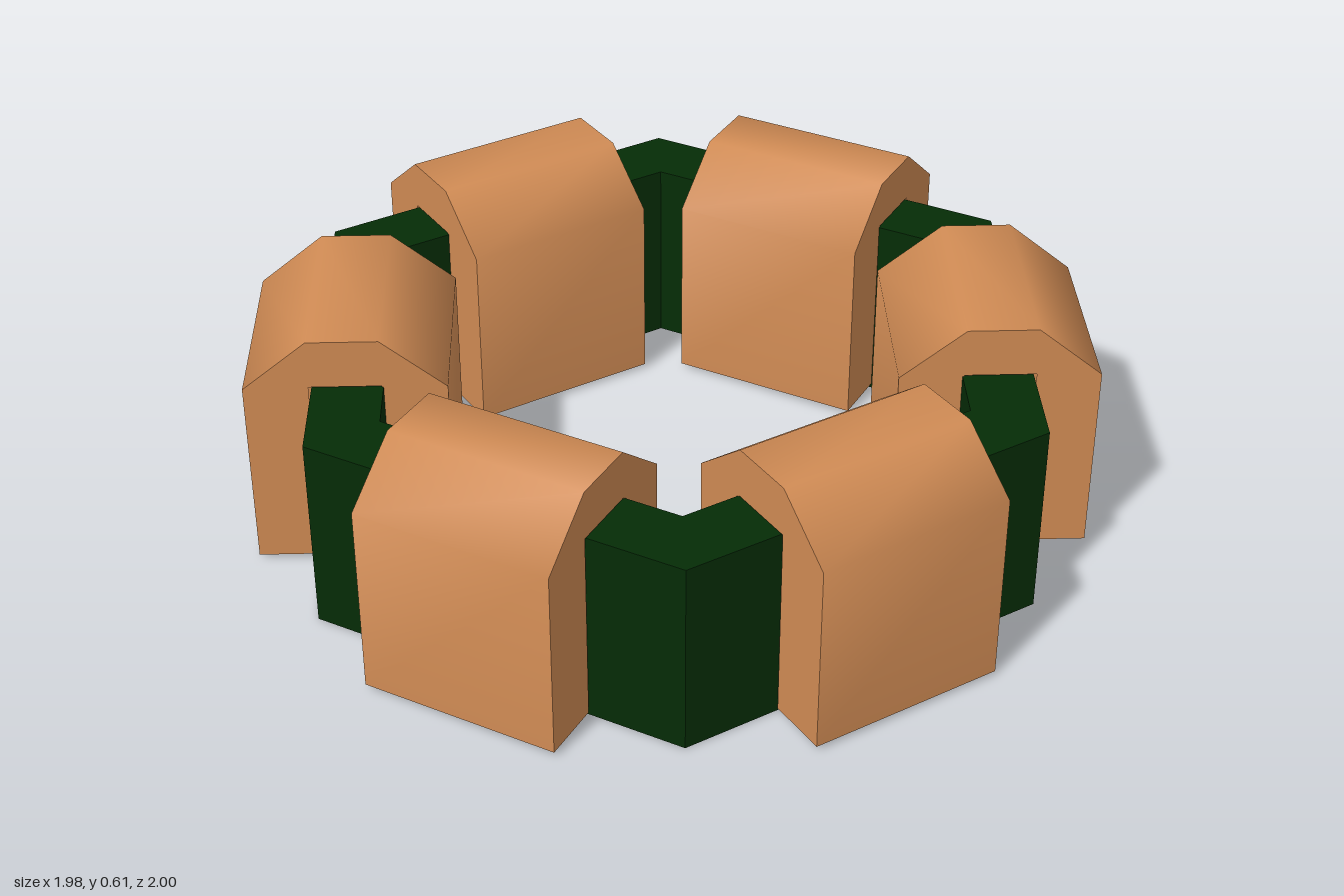
import * as THREE from 'three';
import { toCreasedNormals } from 'three/addons/utils/BufferGeometryUtils.js';

const SIDES = 6;
const OUTER = 0.97, INNER = 0.777;     // ring corner radii
const RING_BOTTOM = 0.003, RING_TOP = 0.491;
const LENGTH = 0.492;                  // saddle length along its side

// Open hexagonal wall with corners on the x axis
function wallGeometry(radius, inward) {
  const height = RING_TOP - RING_BOTTOM;
  const geo = new THREE.CylinderGeometry(radius, radius, height, SIDES, 1, true);
  geo.rotateY(Math.PI / 2).translate(0, RING_BOTTOM + height / 2, 0);
  if (inward) geo.scale(1, 1, -1);
  return toCreasedNormals(geo, 0.1);
}

// Saddle skin: a strip bent over the chamfered outline, open underneath
function skinGeometry(outline) {
  const geo = new THREE.PlaneGeometry(LENGTH, 1, 1, outline.length - 1);
  const pos = geo.attributes.position;
  for (let i = 0; i < pos.count; i++) {
    const [z, y] = outline[Math.floor(i / 2)];
    pos.setXYZ(i, pos.getX(i), y, z);
  }
  geo.computeVertexNormals();
  return geo;
}

// Saddle end: the outline with a slot for the ring wall
function endGeometry(outline) {
  const slot = [[0.085, 0.015], [0.085, 0.494], [-0.085, 0.494], [-0.085, 0.015]];
  const points = [...outline, ...slot].map(([x, y]) => new THREE.Vector2(x, y));
  return new THREE.ShapeGeometry(new THREE.Shape(points));
}

export function createModel() {
  const model = new THREE.Group();
  model.name = 'hexagonalRing';
  const green = new THREE.MeshStandardMaterial({ color: 0x052c06, side: THREE.DoubleSide });
  green.name = 'darkGreen';
  const tan = new THREE.MeshStandardMaterial({ color: 0xd08b54, side: THREE.DoubleSide });
  tan.name = 'tan';

  function add(parent, name, geometry, material) {
    const mesh = new THREE.Mesh(geometry, material);
    mesh.name = name;
    parent.add(mesh);
    return mesh;
  }

  // Hollow ring, open underneath
  const top = new THREE.RingGeometry(INNER, OUTER, SIDES);
  top.rotateX(-Math.PI / 2).translate(0, RING_TOP, 0);
  add(model, 'ringOuterWall', wallGeometry(OUTER, false), green);
  add(model, 'ringInnerWall', wallGeometry(INNER, true), green);
  add(model, 'ringTop', top, green);

  // One saddle in the middle of each side
  const outline = [
    [-0.238, 0.015], [-0.238, 0.49], [-0.084, 0.615],
    [0.084, 0.615], [0.238, 0.49], [0.238, 0.015],
  ];
  const skin = skinGeometry(outline);
  const end = endGeometry(outline);
  for (let i = 0; i < SIDES; i++) {
    const a = (i / SIDES) * Math.PI * 2;
    const saddle = new THREE.Group();
    saddle.name = `saddle${i + 1}`;
    saddle.position.set(0.762 * Math.sin(a), 0, 0.762 * Math.cos(a));
    saddle.rotation.y = a;
    add(saddle, 'saddleSkin', skin, tan);
    for (const side of [-1, 1]) {
      const cap = add(saddle, side > 0 ? 'saddleLeftEnd' : 'saddleRightEnd', end, tan);
      cap.position.x = side * LENGTH / 2;
      cap.rotation.y = side * Math.PI / 2;
    }
    model.add(saddle);
  }
  return model;
}
